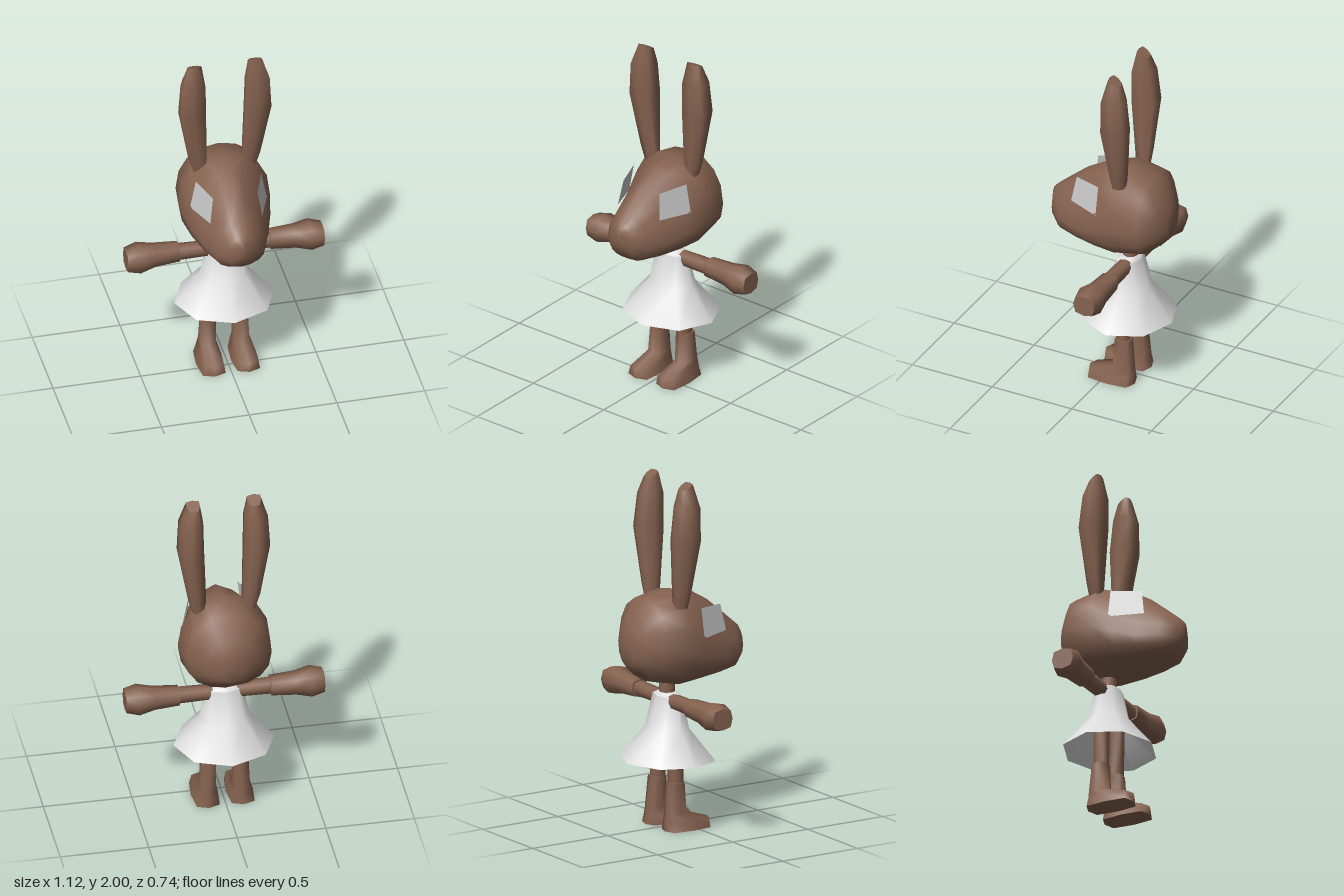
import * as THREE from 'three';

const fur = new THREE.MeshStandardMaterial({ name: 'brownFur', color: 0x85624f });
const cloth = new THREE.MeshStandardMaterial({ name: 'paleCloth', color: 0xdedede, side: THREE.DoubleSide });
const eyeGrey = new THREE.MeshStandardMaterial({ name: 'eyeGrey', color: 0xc8c8c8, side: THREE.DoubleSide });

const power = (v, n) => Math.sign(v) * Math.abs(v) ** (2 / n);

// Rounded-square ring: extents along u and v at height w, optionally narrowed towards -u and tilted.
function ring(w, u0, u1, v0, v1, { sides = 8, n = 2, taper = 0, tilt = 0 } = {}) {
  return Array.from({ length: sides }, (_, i) => {
    const a = (i / sides) * Math.PI * 2;
    const c = power(Math.cos(a), n), s = power(Math.sin(a), n);
    const narrow = 1 - taper * (1 - c) / 2;
    return [(u0 + u1) / 2 + c * (u1 - u0) / 2, (v0 + v1) / 2 + s * narrow * (v1 - v0) / 2, w + tilt * c];
  });
}

// Skin over rings given in ascending order along an axis: x uses (y,z), y uses (z,x), z uses (x,y).
function loft(rings, axis, { caps = true, smoothCaps = false } = {}) {
  const place = { x: ([u, v, w]) => [w, u, v], y: ([u, v, w]) => [v, w, u], z: ([u, v, w]) => [u, v, w] }[axis];
  const m = rings[0].length, pos = [], idx = [];
  rings.forEach((r) => r.forEach((p) => pos.push(...place(p))));
  for (let i = 0; i < rings.length - 1; i++) {
    for (let j = 0; j < m; j++) {
      const k = (j + 1) % m, a = i * m + j, b = i * m + k;
      idx.push(a, b, b + m, a, b + m, a + m);
    }
  }
  if (caps) {
    [0, rings.length - 1].forEach((ri) => {
      const r = rings[ri];
      let base = ri * m;
      if (!smoothCaps) {
        base = pos.length / 3;
        r.forEach((p) => pos.push(...place(p)));
      }
      const mid = pos.length / 3;
      pos.push(...place([0, 1, 2].map((d) => r.reduce((s, p) => s + p[d], 0) / m)));
      for (let j = 0; j < m; j++) {
        const k = (j + 1) % m;
        if (ri === 0) idx.push(mid, base + k, base + j);
        else idx.push(mid, base + j, base + k);
      }
    });
  }
  const g = new THREE.BufferGeometry();
  g.setAttribute('position', new THREE.Float32BufferAttribute(pos, 3));
  g.setIndex(idx);
  g.computeVertexNormals();
  return g;
}

function mirrored(geometry) {
  const g = geometry.clone().scale(-1, 1, 1);
  g.setIndex(Array.from(geometry.index.array).reverse());
  g.computeVertexNormals();
  return g;
}

// Head section: widest at height mid, with its own roundness above that line.
function headRing([z, bottom, mid, top, half, n]) {
  const sides = 16;
  return Array.from({ length: sides }, (_, i) => {
    const a = (i / sides) * Math.PI * 2, s = Math.sin(a);
    const e = s > 0 ? n : 2.3;
    return [half * power(Math.cos(a), e), mid + power(s, e) * (s > 0 ? top - mid : mid - bottom), z];
  });
}

export function createModel() {
  const model = new THREE.Group();
  const add = (name, geometry, material) => {
    const mesh = new THREE.Mesh(geometry, material);
    mesh.name = name;
    model.add(mesh);
  };
  const addPair = (name, geometry, material) => {
    add('left' + name, geometry, material);
    add('right' + name, mirrored(geometry), material);
  };

  // Head, lofted from the back of the skull to the nose
  const headSections = [
    [-0.365, 0.96, 1.05, 1.14, 0.07, 2],
    [-0.33, 0.915, 1.06, 1.21, 0.15, 2.1],
    [-0.26, 0.855, 1.06, 1.325, 0.24, 2.2],
    [-0.1, 0.82, 1.05, 1.36, 0.26, 2.2],
    [0.03, 0.833, 1.0, 1.34, 0.232, 1.55],
    [0.16, 0.845, 0.97, 1.262, 0.19, 1.55],
    [0.28, 0.86, 0.97, 1.16, 0.145, 1.8],
    [0.345, 0.905, 0.99, 1.103, 0.085, 2],
    [0.37, 0.97, 1.02, 1.075, 0.025, 2],
  ];
  add('head', loft(headSections.map(headRing), 'z', { smoothCaps: true }), fur);

  // Eyes: thin slanted panels on the sides of the face
  const eye = new THREE.BufferGeometry();
  eye.setAttribute('position', new THREE.Float32BufferAttribute([
    0.219, 1.105, 0.0, 0.186, 1.272, 0.0, 0.127, 1.262, 0.165, 0.148, 1.112, 0.19,
  ], 3));
  eye.setIndex([0, 1, 2, 0, 2, 3]);
  eye.computeVertexNormals();
  addPair('Eye', eye, eyeGrey);

  // Ears: tall blades, broader at the front
  const earShape = { n: 3.2, taper: 0.4 };
  addPair('Ear', loft([
    ring(1.27, -0.15, -0.08, 0.095, 0.185, earShape),
    ring(1.36, -0.16, -0.072, 0.09, 0.215, earShape),
    ring(1.68, -0.19, -0.035, 0.095, 0.278, earShape),
    ring(1.87, -0.167, -0.035, 0.1, 0.266, earShape),
    ring(1.982, -0.135, -0.065, 0.125, 0.22, { ...earShape, tilt: 0.018 }),
  ], 'y'), fur);

  // Neck
  add('neck', loft([
    ring(0.72, -0.15, -0.06, -0.045, 0.045),
    ring(0.9, -0.15, -0.06, -0.045, 0.045),
  ], 'y'), fur);

  // Dress: open flared skirt and closed bodice
  add('dress', loft([
    ring(0.39, -0.365, 0.16, -0.285, 0.285),
    ring(0.57, -0.22, 0.01, -0.14, 0.14),
    ring(0.755, -0.17, -0.035, -0.107, 0.107),
  ], 'y', { caps: false }), cloth);
  add('dressShoulders', loft([
    ring(0.755, -0.17, -0.035, -0.107, 0.107),
    ring(0.773, -0.155, -0.055, -0.06, 0.06),
  ], 'y'), cloth);

  // Arms: slim upper arm, then a forearm swelling into the hand
  const limb = { n: 3 };
  addPair('UpperArm', loft([
    ring(0.07, 0.692, 0.77, -0.15, -0.07, limb),
    ring(0.27, 0.69, 0.775, -0.155, -0.068, limb),
  ], 'x'), fur);
  addPair('Forearm', loft([
    ring(0.258, 0.682, 0.785, -0.167, -0.06, limb),
    ring(0.4, 0.672, 0.793, -0.175, -0.05, limb),
    ring(0.488, 0.65, 0.81, -0.19, -0.028, limb),
    ring(0.56, 0.668, 0.79, -0.172, -0.04, limb),
  ], 'x'), fur);

  // Legs: thigh under the skirt, shin running into a long foot
  addPair('Thigh', loft([
    ring(0.26, -0.148, -0.068, 0.05, 0.128, limb),
    ring(0.56, -0.15, -0.06, 0.05, 0.125, limb),
  ], 'y'), fur);
  addPair('ShinAndFoot', loft([
    ring(0, -0.185, 0.1, 0.022, 0.175, { n: 4 }),
    ring(0.052, -0.18, 0.098, 0.032, 0.16, { n: 4 }),
    ring(0.1, -0.175, -0.05, 0.045, 0.145, limb),
    ring(0.272, -0.157, -0.063, 0.045, 0.137, limb),
  ], 'y'), fur);

  return model;
}
